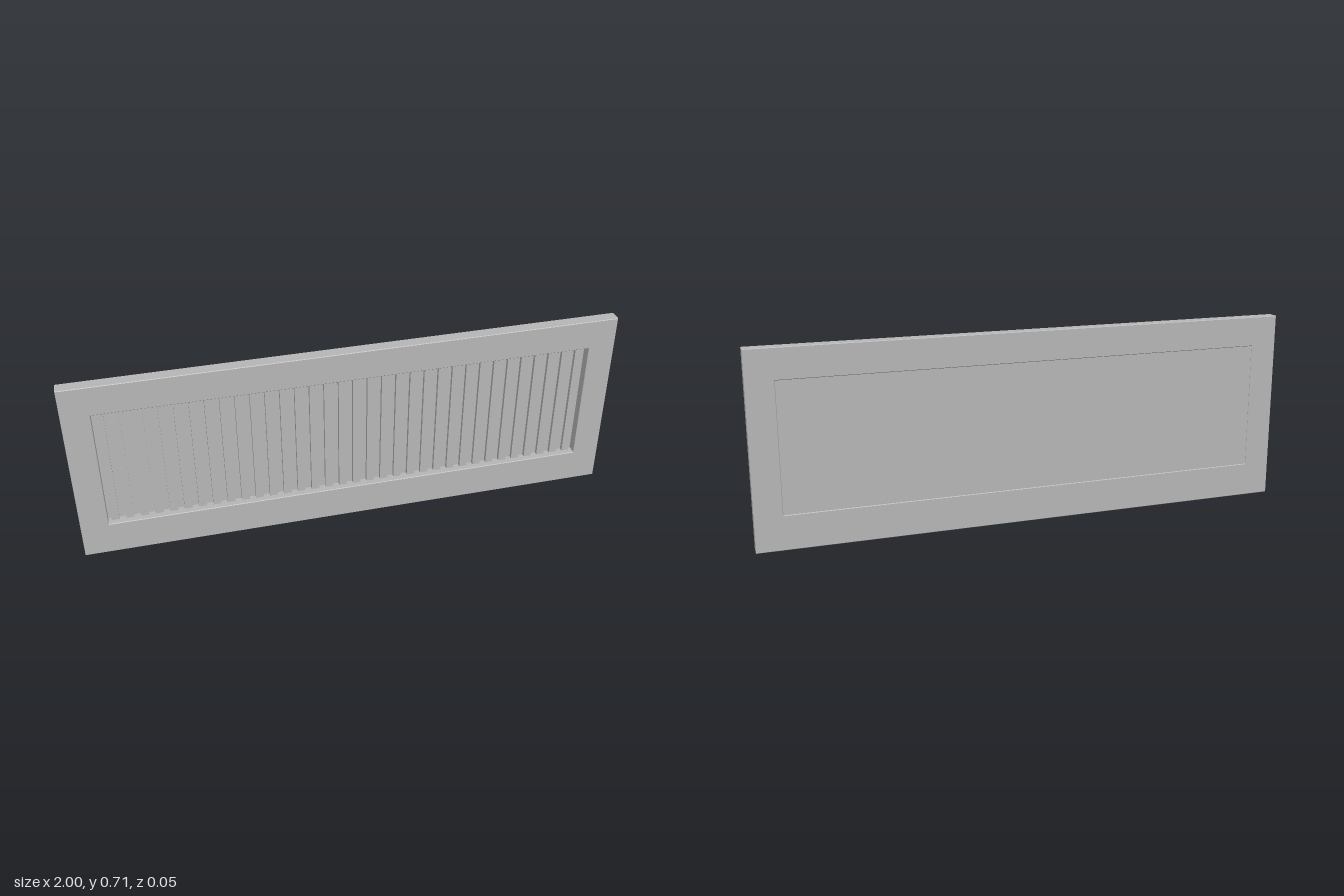
import * as THREE from 'three';

const W = 2, H = 0.714, DEPTH = 0.046, BEVEL = 0.002;
const OPEN = { x: 0.9, y0: 0.128, y1: 0.602 };
const SLATS = 34;

function rectPoints(x0, y0, x1, y1) {
  return [[x0, y0], [x1, y0], [x1, y1], [x0, y1]].map(([x, y]) => new THREE.Vector2(x, y));
}

export function createModel() {
  const group = new THREE.Group();
  const grey = new THREE.MeshStandardMaterial({ color: 0xb8b8b8 });
  grey.name = 'grey';

  function add(name, geometry, x = 0, y = 0, z = 0) {
    const mesh = new THREE.Mesh(geometry, grey);
    mesh.name = name;
    mesh.position.set(x, y, z);
    group.add(mesh);
  }

  // Surrounding frame with finely eased edges
  const outline = new THREE.Shape(rectPoints(-W / 2, 0, W / 2, H));
  outline.holes.push(new THREE.Path(rectPoints(-OPEN.x, OPEN.y0, OPEN.x, OPEN.y1).reverse()));
  add('frame', new THREE.ExtrudeGeometry(outline, {
    depth: DEPTH - 2 * BEVEL,
    bevelEnabled: true,
    bevelThickness: BEVEL,
    bevelSize: BEVEL,
    bevelOffset: -BEVEL,
    bevelSegments: 1,
  }), 0, 0, -DEPTH / 2 + BEVEL);

  // Backing board, set slightly in from the rear of the frame
  const openH = OPEN.y1 - OPEN.y0, midY = (OPEN.y0 + OPEN.y1) / 2;
  add('backPanel', new THREE.BoxGeometry(OPEN.x * 2, openH, 0.007), 0, midY, -0.0165);

  // Row of upright slats standing proud of the backing board
  const pitch = (OPEN.x * 2) / SLATS;
  const slatGeometry = new THREE.BoxGeometry(0.029, openH, 0.014);
  for (let i = 0; i < SLATS; i++) {
    add('slat', slatGeometry, -OPEN.x + (i + 0.5) * pitch, midY, -0.006);
  }

  return group;
}
